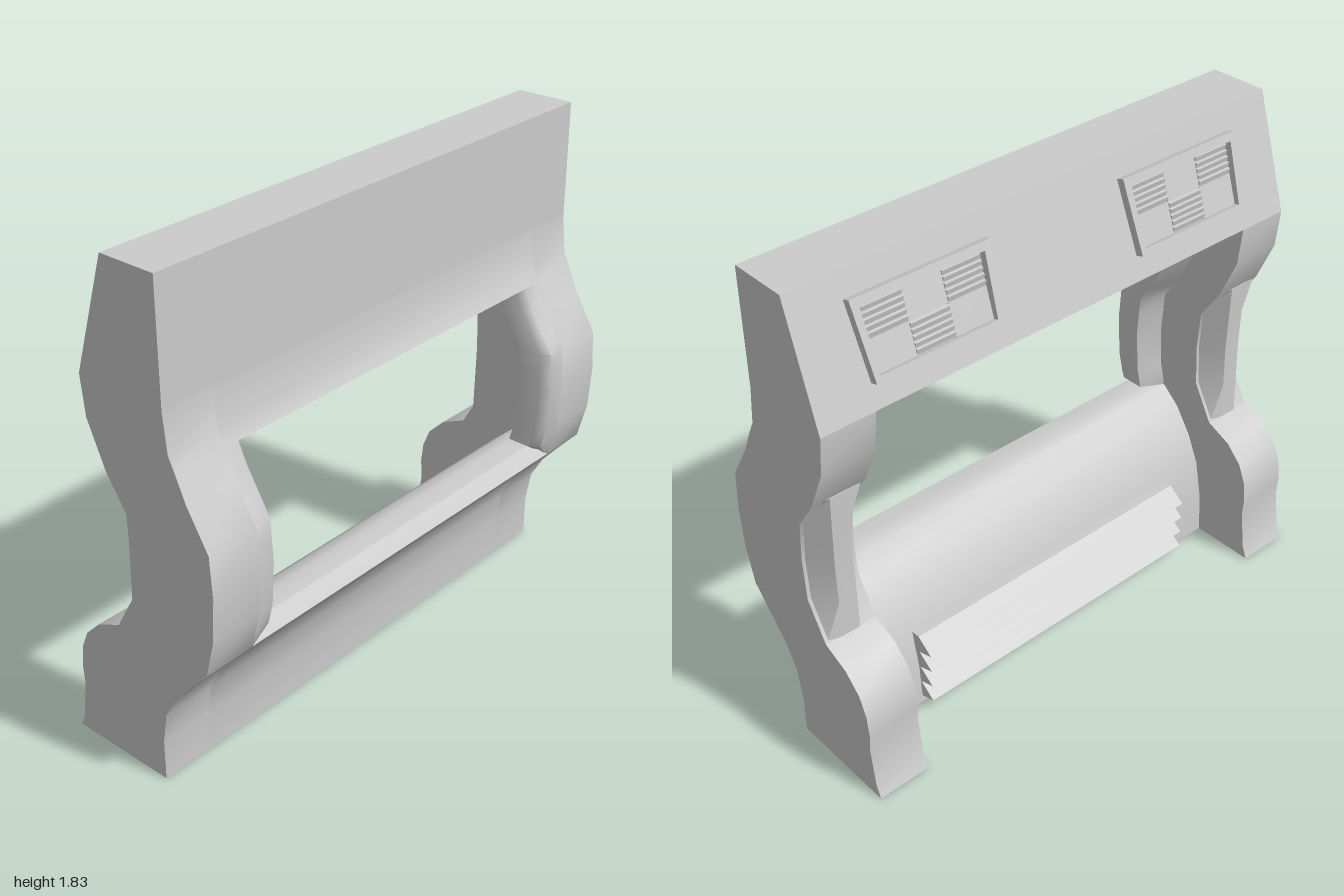
import * as THREE from 'three';
import { toCreasedNormals } from 'three/addons/utils/BufferGeometryUtils.js';

const material = new THREE.MeshStandardMaterial({ color: 0xcccccc });

// Curves of the front and of the post backs, as [z, y] going up
const front = [[0.08, 0], [0.08, 0.15], [0.10, 0.27], [0.15, 0.36], [0.21, 0.43], [0.30, 0.53],
  [0.335, 0.67], [0.345, 0.83], [0.335, 0.98], [0.25, 1.12], [0.21, 1.21], [0.185, 1.26], [0.17, 1.4]];
const back = [[-0.34, 0], [-0.32, 0.05], [-0.30, 0.2], [-0.305, 0.27], [-0.295, 0.35], [-0.265, 0.42],
  [-0.20, 0.485], [-0.10, 0.53], [-0.02, 0.67], [-0.01, 0.83], [-0.02, 0.98], [-0.10, 1.1],
  [-0.17, 1.26], [-0.185, 1.4]];

function zAt(curve, y) {
  for (let i = 1; i < curve.length; i++) {
    const [z0, y0] = curve[i - 1], [z1, y1] = curve[i];
    if (y <= y1) return z0 + (z1 - z0) * (y - y0) / (y1 - y0);
  }
  return curve[curve.length - 1][0];
}

function addMesh(parent, name, geometry) {
  const mesh = new THREE.Mesh(geometry, material);
  mesh.name = name;
  parent.add(mesh);
  return mesh;
}

// Side profile of [z, y] points stretched from x0 to x1
function slab(profile, x0, x1, crease = 0.6) {
  const shape = new THREE.Shape(profile.map(([z, y]) => new THREE.Vector2(z, y)));
  const g = new THREE.ExtrudeGeometry(shape, { depth: x1 - x0, bevelEnabled: false });
  g.rotateY(-Math.PI / 2).translate(x1, 0, 0);
  return toCreasedNormals(g, crease);
}

// Closed rings stacked upward and capped; side = -1 mirrors in x
function loft(rings, side, crease) {
  const n = rings[0].length;
  const pts = rings.flatMap((r) => {
    const m = r.map(([x, y, z]) => [x * side, y, z]);
    return side < 0 ? m.reverse() : m;
  });
  const index = [];
  for (let j = 0; j < rings.length - 1; j++) {
    for (let i = 0; i < n; i++) {
      const a = j * n + i, b = j * n + (i + 1) % n;
      index.push(a, b, b + n, a, b + n, a + n);
    }
  }
  const top = (rings.length - 1) * n;
  for (let i = 1; i < n - 1; i++) {
    index.push(0, i + 1, i, top, top + i, top + i + 1);
  }
  const g = new THREE.BufferGeometry();
  g.setAttribute('position', new THREE.Float32BufferAttribute(pts.flat(), 3));
  g.setIndex(index);
  return toCreasedNormals(g.toNonIndexed(), crease);
}

// Framed vent with slats in a checker layout; local +z points outward
function makeVent() {
  const vent = new THREE.Group();
  vent.name = 'headerVent';
  const shape = new THREE.Shape([[-0.245, -0.135], [0.245, -0.135], [0.265, 0.135], [-0.265, 0.135]]
    .map(([x, y]) => new THREE.Vector2(x, y)));
  shape.holes.push(new THREE.Path([[-0.225, -0.115], [-0.235, 0.105], [0.235, 0.105], [0.225, -0.115]]
    .map(([x, y]) => new THREE.Vector2(x, y))));
  addMesh(vent, 'ventFrame', new THREE.ExtrudeGeometry(shape, { depth: 0.03, bevelEnabled: false }));
  for (let col = -1; col <= 1; col++) {
    for (let row = 0; row < 2; row++) {
      const x = col * 0.15, y = row ? 0.05 : -0.06;
      if ((Math.abs(col) === 1) === (row === 1)) {
        for (let k = 0; k < 5; k++) {
          const slat = addMesh(vent, 'ventSlat', new THREE.BoxGeometry(0.15, 0.018, 0.012));
          slat.position.set(x, y + (k - 2) * 0.021, 0.008);
          slat.rotation.x = 0.5;
        }
      } else {
        addMesh(vent, 'ventPlate', new THREE.BoxGeometry(0.15, 0.11, 0.012)).position.set(x, y, 0.004);
      }
    }
  }
  return vent;
}

export function createModel() {
  const model = new THREE.Group();
  model.name = 'windowFrame';

  // Header beam with sloping back
  addMesh(model, 'header', slab([[0.17, 1.405], [0.17, 1.825], [-0.05, 1.825], [-0.185, 1.405]], -1, 1, 0.1));

  // Lower panel with chamfered sill
  addMesh(model, 'lowerPanel', slab([...front.slice(0, 6), [0.26, 0.582], [0.19, 0.59], [0.14, 0.58],
    [0.07, 0.52], [0.0, 0.42], [-0.05, 0.31], [-0.08, 0.16], [-0.09, 0]], -0.8, 0.8));

  // Upper panel above the opening
  addMesh(model, 'upperPanel', slab([...front.slice(10), [0.17, 1.41], [0.02, 1.41], [0.02, 1.3],
    [0.05, 1.23], [0.08, 1.21]], -0.8, 0.8));
  addMesh(model, 'upperStrip', new THREE.BoxGeometry(1.36, 0.04, 0.05)).position.set(0, 1.28, 0.03);

  // Saw-toothed louvres low on the back
  for (let i = 0; i < 4; i++) {
    const y = 0.03 + i * 0.07;
    addMesh(model, 'lowerLouvre', slab([[-0.04, y], [-0.04, y + 0.07], [-0.085, y + 0.07],
      [-0.15, y + 0.02], [-0.09, y]], -0.62, 0.62, 0.1));
  }

  for (const side of [1, -1]) {
    // Curved post
    const post = slab([...front, [0.17, 1.405], [-0.185, 1.405], ...[...back].reverse()],
      side > 0 ? 0.8 : -1, side > 0 ? 1 : -0.8, 0.6);
    addMesh(model, 'post', post);

    // Rounded jamb beside the opening
    const jamb = [0.53, 0.59, 0.67, 0.75, 0.83, 0.91, 0.98, 1.05, 1.12, 1.22].map((y, i) => {
      const z = zAt(front, y), w = i === 0 ? 0.1 : 1;
      return [[0.8, y, z], [0.8, y, z - 0.17], [0.8 - 0.09 * w, y, z - 0.13],
        [0.8 - 0.09 * w, y, z - 0.04], [0.8 - 0.065 * w, y, z - 0.006]];
    });
    addMesh(model, 'jamb', loft(jamb, side, 0.9));

    // Ridged pad bridging the hollow in the back of the post
    const pad = [0.53, 0.67, 0.83, 0.98, 1.1].map((y) => {
      const z = zAt(back, y) + 0.005, r = -0.095 - 0.008 * Math.abs(y - 0.82) / 0.28;
      return [[0.99, y, z], [0.935, y, r], [0.865, y, r], [0.81, y, z]];
    });
    addMesh(model, 'postPad', loft(pad, side, 0.3));

    // Vent on the sloping back of the header
    const vent = makeVent();
    vent.position.set(side * 0.545, 1.615, -0.117);
    vent.rotation.set(-0.314, Math.PI, 0, 'YXZ');
    model.add(vent);
  }
  return model;
}
